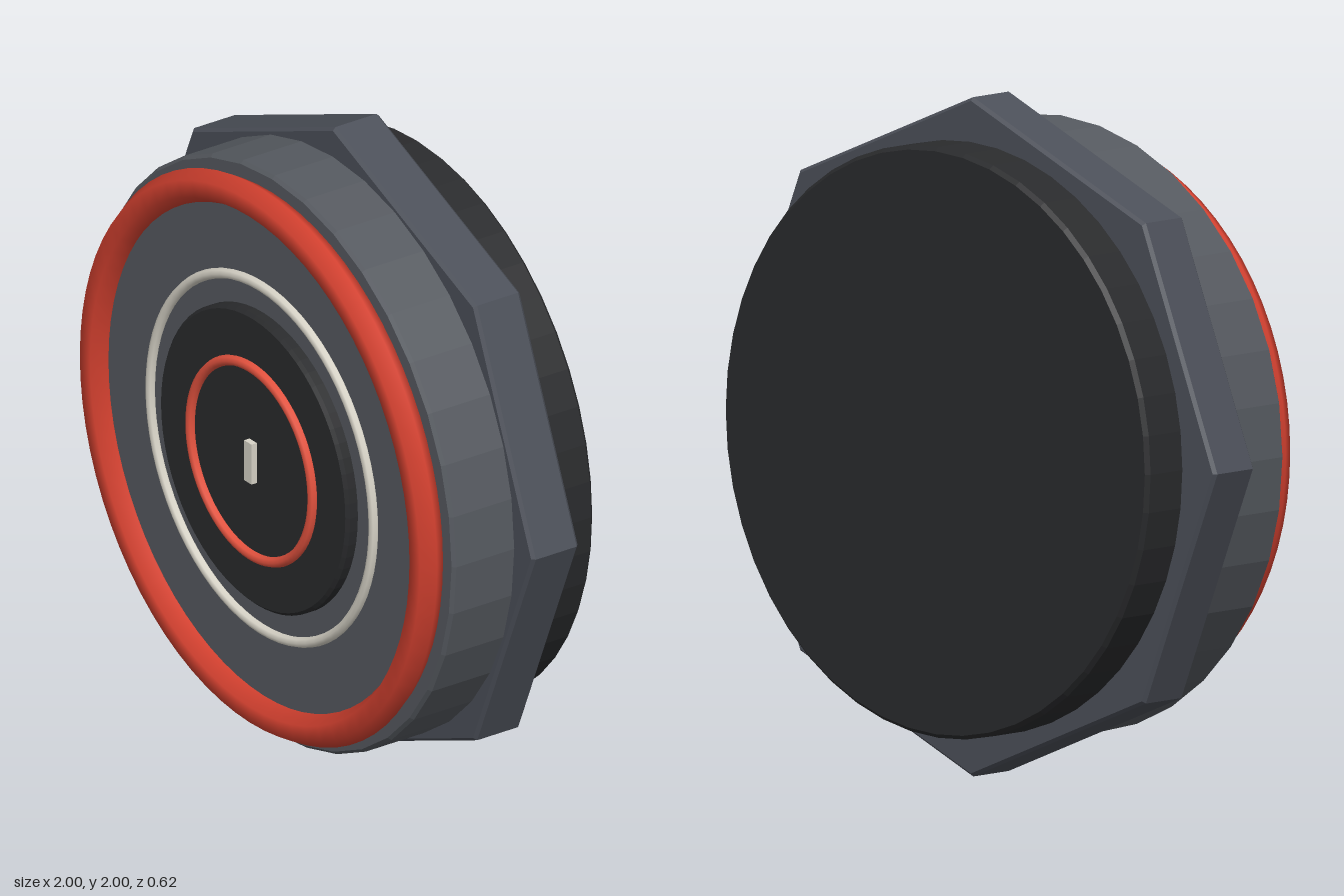
import * as THREE from 'three';

const COLORS = {
  body: 0x565a60, nut: 0x4c5059, dark: 0x2a2b2d,
  red: 0xd2402f, brightRed: 0xe5533f, cream: 0xd8d4c8,
};

export function createModel() {
  const model = new THREE.Group();
  model.name = 'roundDevice';

  const add = (name, geometry, color, flatShading = false) => {
    const mesh = new THREE.Mesh(geometry, new THREE.MeshStandardMaterial({ color, flatShading }));
    mesh.name = name;
    model.add(mesh);
    return mesh;
  };

  // Solid disc with bevelled rims, its axis along z
  const disc = (name, radius, back, front, sides, bevel, color) => {
    const profile = [
      [0, back], [radius - bevel, back], [radius, back + bevel],
      [radius, front - bevel], [radius - bevel, front], [0, front],
    ].map(([r, z]) => new THREE.Vector2(r, z));
    return add(name, new THREE.LatheGeometry(profile, sides).rotateX(Math.PI / 2), color, true);
  };

  // Round-section ring facing the front
  const ring = (name, radius, tube, z, tubeSides, color) => {
    add(name, new THREE.TorusGeometry(radius, tube, tubeSides, 72), color).position.z = z;
  };

  // Stacked body, from the back forwards
  disc('backCover', 0.87, -0.31, -0.155, 48, 0.012, COLORS.dark);
  disc('octagonalFlange', 1, -0.163, 0.003, 8, 0.01, COLORS.nut);
  disc('frontDrum', 0.906, -0.02, 0.22, 36, 0.01, COLORS.body);
  disc('facePlate', 0.81, 0.2, 0.25, 64, 0.005, COLORS.body);
  disc('centreCap', 0.47, 0.23, 0.288, 64, 0.01, COLORS.dark);

  // Coloured rings on the face
  ring('outerRing', 0.823, 0.051, 0.256, 6, COLORS.red);
  ring('middleRing', 0.557, 0.016, 0.255, 8, COLORS.cream);
  ring('innerRing', 0.305, 0.016, 0.293, 8, COLORS.brightRed);

  // Small upright mark in the middle
  add('centreMark', new THREE.BoxGeometry(0.036, 0.13, 0.03), COLORS.cream).position.z = 0.292;

  model.children.forEach((part) => { part.position.y = 1; });
  return model;
}
